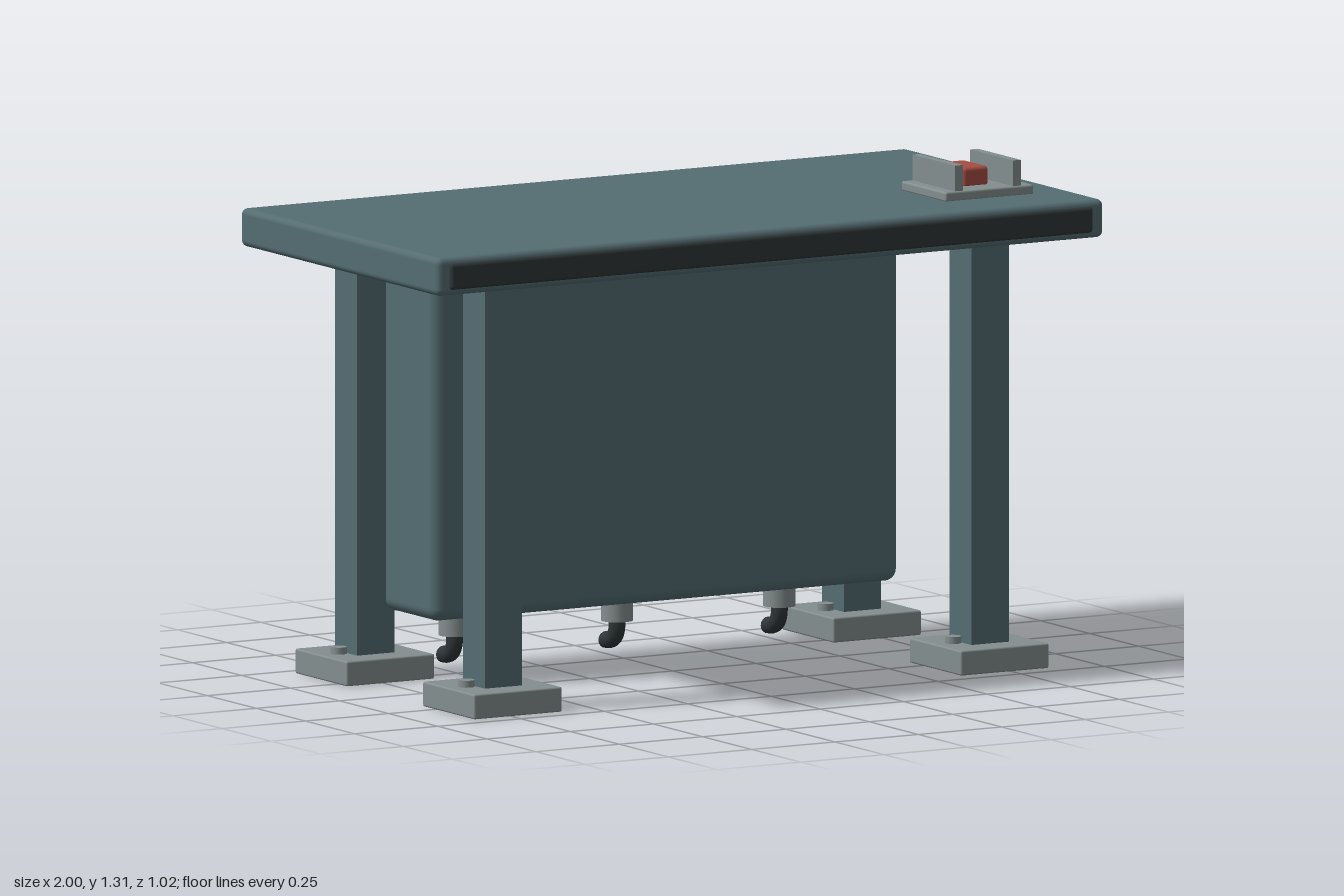
import * as THREE from 'three';
import { RoundedBoxGeometry } from 'three/addons/geometries/RoundedBoxGeometry.js';

export function createModel() {
  const group = new THREE.Group();
  const mat = (name, color) => {
    const m = new THREE.MeshStandardMaterial({ color });
    m.name = name;
    return m;
  };
  const teal = mat('tealPaint', 0x546d72);
  const grey = mat('greyMetal', 0x848e8e);
  const dark = mat('darkRubber', 0x2f3638);
  const red = mat('redButton', 0xa64c42);

  const add = (name, geometry, material, x = 0, y = 0, z = 0) => {
    const mesh = new THREE.Mesh(geometry, material);
    mesh.name = name;
    mesh.position.set(x, y, z);
    group.add(mesh);
    return mesh;
  };
  // Box given by its extents, with optional rounded edges
  const box = (name, material, [x0, x1], [y0, y1], [z0, z1], radius = 0) => {
    const size = [x1 - x0, y1 - y0, z1 - z0];
    const geometry = radius
      ? new RoundedBoxGeometry(...size, 3, radius)
      : new THREE.BoxGeometry(...size);
    return add(name, geometry, material, (x0 + x1) / 2, (y0 + y1) / 2, (z0 + z1) / 2);
  };

  // Table top with a dark bumper along the front edge
  box('tableTop', teal, [-1, 1], [1.122, 1.222], [-0.51, 0.5], 0.017);
  box('frontBumper', dark, [-0.965, 0.962], [1.138, 1.206], [0.48, 0.51], 0.009);

  // Four square legs on foot plates, each with one bolt
  for (const x of [-0.73, 0.73]) {
    for (const z of [-0.33, 0.32]) {
      box('leg', teal, [x - 0.056, x + 0.056], [0.06, 1.13], [z - 0.056, z + 0.056]);
      box('footPlate', grey, [x - 0.132, x + 0.132], [0, 0.065], [z - 0.132, z + 0.132], 0.005);
      add('footBolt', new THREE.CylinderGeometry(0.021, 0.021, 0.02, 20), grey, x - 0.078, 0.073, z);
    }
  }

  // Cabinet hung between the rear legs, with a service panel at the back
  box('cabinet', teal, [-0.7, 0.7], [0.176, 1.098], [-0.384, -0.03], 0.032);
  box('rearPanel', grey, [-0.63, 0.63], [0.285, 1.012], [-0.402, -0.37], 0.012);

  // Outlets below the cabinet: collar and rearward elbow
  const bend = new THREE.CurvePath();
  bend.add(new THREE.LineCurve3(new THREE.Vector3(0, 0.11, 0), new THREE.Vector3(0, 0.088, 0)));
  bend.add(new THREE.QuadraticBezierCurve3(
    new THREE.Vector3(0, 0.088, 0), new THREE.Vector3(0, 0.037, 0), new THREE.Vector3(0, 0.037, -0.058)));
  for (const x of [-0.487, 0, 0.487]) {
    add('outletCollar', new THREE.CylinderGeometry(0.042, 0.042, 0.09, 28), grey, x, 0.14, -0.285);
    add('outletElbow', new THREE.TubeGeometry(bend, 20, 0.022, 16), dark, x, 0, -0.285);
    const cap = add('outletEnd', new THREE.CircleGeometry(0.022, 16), dark, x, 0.037, -0.343);
    cap.rotation.y = Math.PI;
  }

  // Guarded push button on the table top
  box('buttonBase', grey, [0.625, 0.89], [1.22, 1.246], [0.1, 0.328], 0.006);
  for (const x of [0.668, 0.841]) {
    box('buttonGuard', grey, [x - 0.012, x + 0.012], [1.24, 1.313], [0.105, 0.323]);
  }
  box('button', red, [0.717, 0.793], [1.24, 1.294], [0.14, 0.262], 0.01);

  return group;
}
